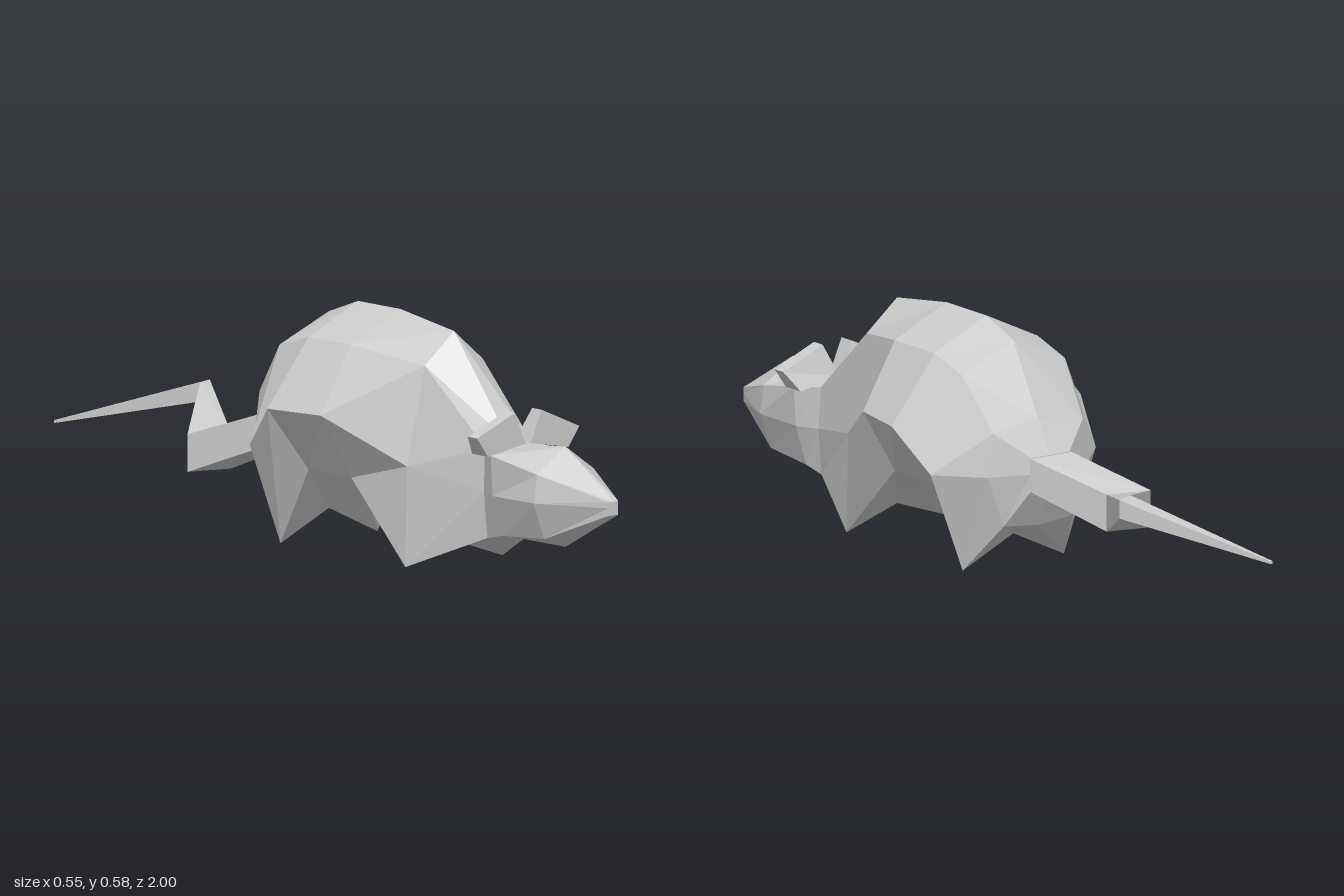
import * as THREE from 'three';

const material = new THREE.MeshStandardMaterial({ color: 0xcccccc, flatShading: true });

// Skins a row of closed rings (front to back, clockwise seen from the front) and caps both ends.
function loft(name, rings) {
  const n = rings[0].length;
  const index = [];
  for (let i = 0; i < rings.length - 1; i++) {
    for (let j = 0; j < n; j++) {
      const a = i * n + j, b = i * n + (j + 1) % n;
      index.push(a, b, a + n, b, b + n, a + n);
    }
  }
  const last = (rings.length - 1) * n;
  for (let j = 1; j < n - 1; j++) {
    index.push(0, j + 1, j, last, last + j, last + j + 1);
  }
  const geometry = new THREE.BufferGeometry();
  geometry.setAttribute('position', new THREE.Float32BufferAttribute(rings.flat(2), 3));
  geometry.setIndex(index);
  geometry.computeVertexNormals();
  const mesh = new THREE.Mesh(geometry, material);
  mesh.name = name;
  return mesh;
}

// Mirrored eight-sided ring: top y, upper, side and lower [x, y], bottom y.
function ring(z, top, upper, side, lower, bottom) {
  const half = [upper, side, lower];
  return [
    [0, top, z],
    ...half.map(([x, y]) => [x, y, z]),
    [0, bottom, z],
    ...half.slice().reverse().map(([x, y]) => [-x, y, z]),
  ];
}

// Tail ring: left and right edge as [x, z], with top and bottom y.
function tailRing([x0, z0], [x1, z1], top, bottom) {
  return [[x0, top, z0], [x1, top, z1], [x1, bottom, z1], [x0, bottom, z0]];
}

export function createModel() {
  const group = new THREE.Group();
  group.name = 'rodent';

  // Head, tapering to a small square nose
  group.add(loft('head', [
    ring(1.0, 0.215, [0.015, 0.215], [0.015, 0.2], [0.015, 0.182], 0.182),
    ring(0.82, 0.325, [0.085, 0.265], [0.097, 0.198], [0.065, 0.11], 0.085),
    ring(0.67, 0.312, [0.106, 0.295], [0.1, 0.198], [0.07, 0.1], 0.085),
    ring(0.61, 0.31, [0.075, 0.3], [0.078, 0.2], [0.068, 0.087], 0.085),
  ]));

  // Body; the lower corners dip to the ground as the feet
  group.add(loft('body', [
    ring(0.61, 0.31, [0.07, 0.3], [0.078, 0.2], [0.068, 0.087], 0.085),
    ring(0.4, 0.55, [0.088, 0.475], [0.142, 0.24], [0.147, 0], 0.05),
    ring(0.2, 0.578, [0.15, 0.507], [0.243, 0.347], [0.15, 0.19], 0.19),
    ring(0.04, 0.578, [0.15, 0.507], [0.275, 0.347], [0.15, 0.19], 0.19),
    ring(-0.07, 0.54, [0.15, 0.475], [0.24, 0.245], [0.147, 0], 0.07),
    ring(-0.17, 0.37, [0.13, 0.35], [0.146, 0.245], [0.1, 0.12], 0.11),
    ring(-0.22, 0.29, [0.055, 0.29], [0.06, 0.25], [0.055, 0.21], 0.21),
  ]));

  // Zigzag tail running out to a point
  group.add(loft('tail', [
    tailRing([-0.06, -0.215], [0.06, -0.215], 0.29, 0.21),
    tailRing([-0.155, -0.41], [-0.045, -0.385], 0.22, 0.13),
    tailRing([0.08, -0.655], [0.13, -0.68], 0.29, 0.245),
    tailRing([-0.085, -1.0], [-0.08, -1.0], 0.175, 0.168),
  ]));

  // Ears: slanted slabs whose inner base runs back to the neck
  for (const s of [1, -1]) {
    const outline = [[0.008, 0.315], [0.04, 0.392], [0.155, 0.342], [0.122, 0.295]];
    if (s < 0) outline.reverse();
    const front = outline.map(([x, y]) => [s * x, y, 0.68]);
    const back = outline.map(([x, y]) => [s * x, y, y < 0.32 ? 0.62 : 0.645]);
    group.add(loft(s > 0 ? 'leftEar' : 'rightEar', [front, back]));
  }
  return group;
}
